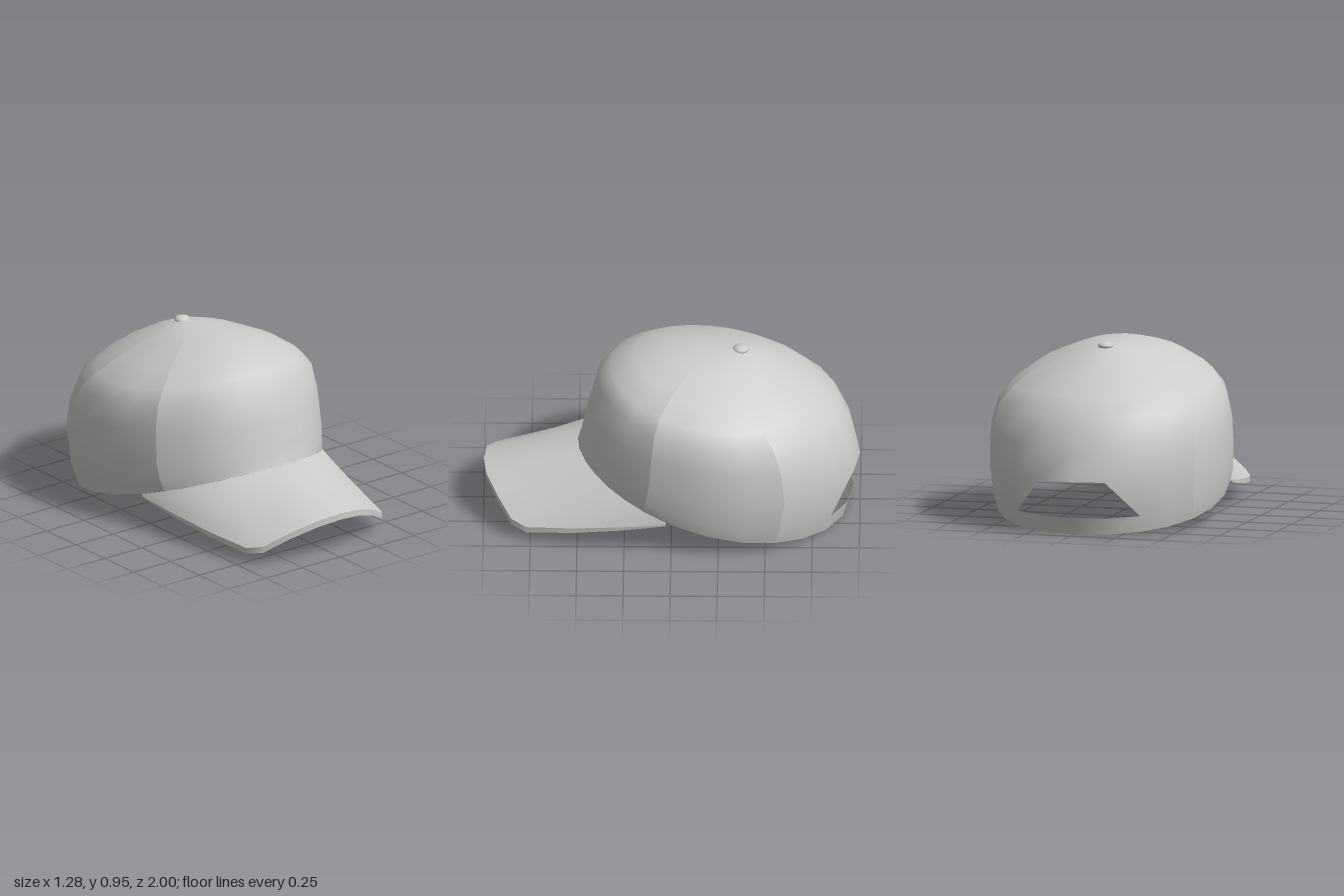
import * as THREE from 'three';

const material = new THREE.MeshStandardMaterial({ color: 0xcccccc, side: THREE.DoubleSide });
const WHOLE = [[0, 1, 2], [0, 2, 3]];

// Skin a grid of points (rows upward, columns rightward); cell() may pick other triangles
function gridMesh(name, rows, cell = () => WHOLE) {
  const n = rows[0].length, index = [];
  for (let i = 0; i < rows.length - 1; i++) {
    for (let j = 0; j < n - 1; j++) {
      const q = [i * n + j, i * n + j + 1, (i + 1) * n + j + 1, (i + 1) * n + j];
      for (const t of cell(i, j)) index.push(...t.map((k) => q[k]));
    }
  }
  const g = new THREE.BufferGeometry().setFromPoints(rows.flat());
  g.setIndex(index);
  g.computeVertexNormals();
  const mesh = new THREE.Mesh(g, material);
  mesh.name = name;
  return mesh;
}

// Crown rings: front z, front y, back z, back y, half width, side y
const RINGS = [
  [0.50, 0.37, -0.94, 0.00, 0.61, 0.125],
  [0.49, 0.40, -0.965, 0.09, 0.63, 0.20],
  [0.475, 0.46, -1.00, 0.29, 0.642, 0.34],
  [0.445, 0.60, -0.965, 0.46, 0.635, 0.52],
  [0.40, 0.76, -0.89, 0.62, 0.605, 0.65],
  [0.33, 0.84, -0.78, 0.715, 0.54, 0.73],
  [0.20, 0.905, -0.64, 0.81, 0.42, 0.815],
  [0.03, 0.94, -0.52, 0.875, 0.23, 0.90],
  [-0.16, 0.944, -0.44, 0.91, 0.11, 0.928],
  [-0.36, 0.935, -0.36, 0.935, 0, 0.935],
];

// Point on a ring; angle 0 is the front, growing toward +x
function ringPoint([zf, yf, zb, yb, w, ys], degrees) {
  const a = THREE.MathUtils.degToRad(degrees), c = Math.cos(a);
  return new THREE.Vector3(
    w * Math.sin(a),
    ys + (yf - yb) / 2 * c + ((yf + yb) / 2 - ys) * c * c,
    (zf + zb) / 2 + (zf - zb) / 2 * c,
  );
}

function panel(name, start, step, count, cell) {
  const rows = RINGS.map((ring) =>
    Array.from({ length: count + 1 }, (_, j) => ringPoint(ring, start + j * step)));
  return gridMesh(name, rows, cell);
}

// Arched opening above the strap: the corner cells keep one triangle each
function backCell(i, j) {
  if (i !== 1 || j < 2 || j > 5) return WHOLE;
  if (j === 2) return [[0, 2, 3]];
  if (j === 5) return [[1, 2, 3]];
  return [];
}

function createCrown() {
  const crown = new THREE.Group();
  crown.name = 'crown';
  const s = 14.7;
  crown.add(panel('frontPanel', -4 * s, s, 8));
  crown.add(panel('leftPanel', 4 * s, s, 4));
  crown.add(panel('rightPanel', -8 * s, s, 4));

  // The back panel has slightly wider columns around the opening
  const angles = [8 * s, 9 * s, 147, 163.5, 180, 196.5, 213, 360 - 9 * s, 360 - 8 * s];
  crown.add(gridMesh('backPanelWithStrap', RINGS.map((r) => angles.map((a) => ringPoint(r, a))), backCell));
  return crown;
}

function createBrim() {
  // Outer edge from the front centre to the left end
  const half = [
    [0, 0.247, 1], [0.14, 0.233, 0.985], [0.28, 0.18, 0.925], [0.4, 0.108, 0.85],
    [0.45, 0.088, 0.77], [0.5, 0.112, 0.52], [0.54, 0.145, 0.26], [0.573, 0.18, 0.03],
  ];
  const steps = 4, top = [], under = [];
  for (let i = 0; i <= steps; i++) {
    const t = i / steps;
    top.push([]);
    under.push([]);
    for (let k = -7; k <= 7; k++) {
      const [x, y, z] = half[Math.abs(k)];
      const p = new THREE.Vector3(Math.sign(k) * x, y, z).lerp(ringPoint(RINGS[0], k * 10), t);
      const thickness = 0.035 * (1 - 0.7 * t) * (1 - 0.8 * (k / 7) ** 4);
      top[i].push(p);
      under[i].push(p.clone().setY(p.y - thickness));
    }
  }
  const brim = new THREE.Group();
  brim.name = 'brim';
  brim.add(gridMesh('brimTop', top));
  brim.add(gridMesh('brimEdge', [under[0], top[0]]));
  brim.add(gridMesh('brimUnderside', under.reverse().map((r) => r)));
  return brim;
}

export function createModel() {
  const cap = new THREE.Group();
  cap.name = 'cap';
  cap.add(createCrown(), createBrim());

  // Button where the panels meet
  const button = new THREE.Mesh(new THREE.SphereGeometry(0.042, 16, 10), material);
  button.name = 'topButton';
  button.scale.y = 0.5;
  button.position.set(0, 0.932, -0.365);
  cap.add(button);
  return cap;
}
